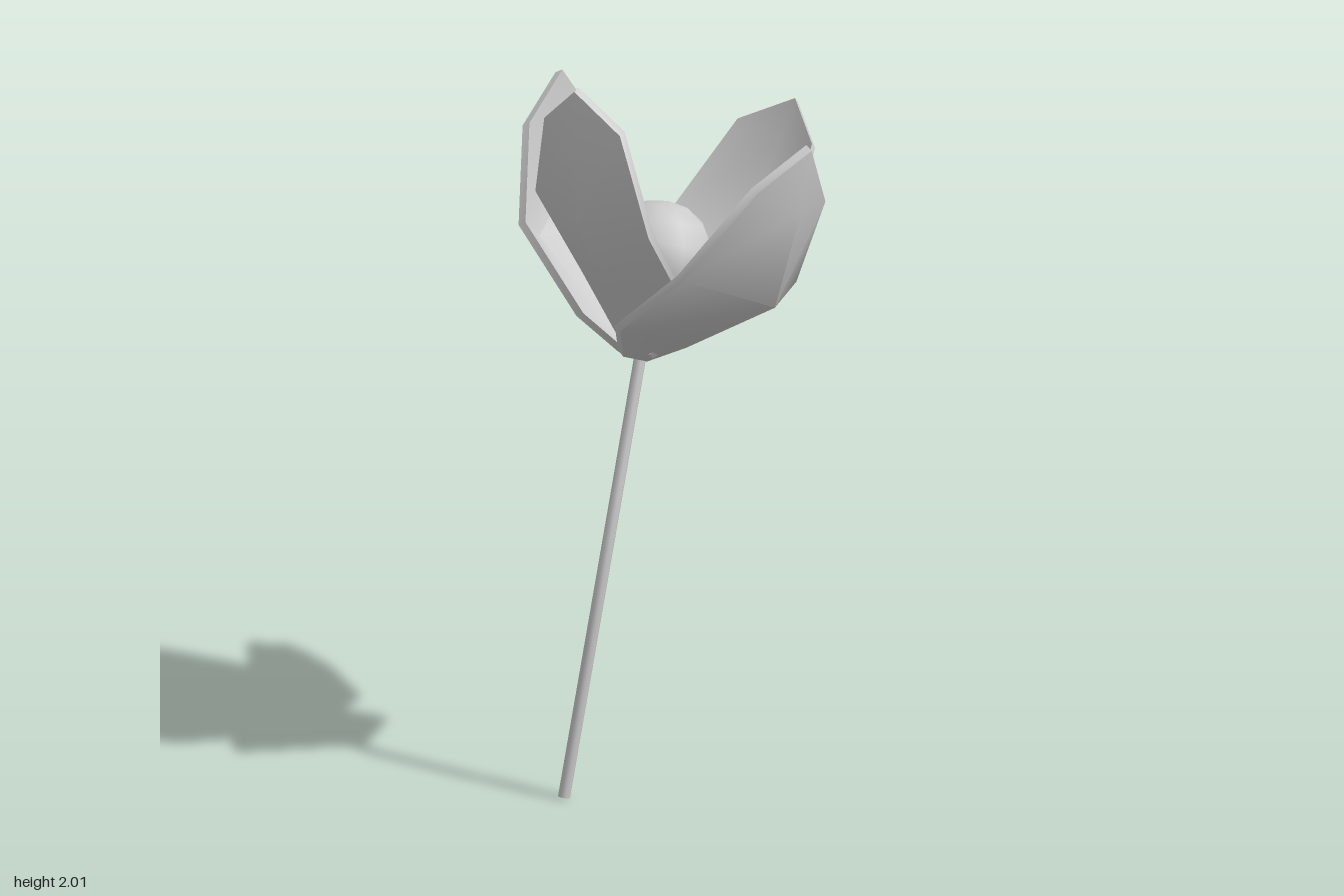
import * as THREE from 'three';
import { toCreasedNormals } from 'three/addons/utils/BufferGeometryUtils.js';

const material = new THREE.MeshStandardMaterial({ color: 0xcccccc });

// Petal cross-sections from base to tip: [left edge, middle, right edge],
// in the flower's frame (y along its axis, petal leaning towards +z).
const uprightPetal = [
  [[-0.06, 0, -0.03], [0, -0.01, 0], [0.05, 0, -0.01]],
  [[-0.205, 0.18, 0.02], [-0.02, 0.15, 0.16], [0.175, 0.197, 0.12]],
  [[-0.272, 0.395, 0.23], [-0.05, 0.35, 0.35], [0.17, 0.362, 0.328]],
  [[-0.205, 0.615, 0.363], [-0.07, 0.59, 0.415], [0.065, 0.625, 0.4]],
  [[-0.085, 0.715, 0.43]],
];
const spreadPetal = [
  [[-0.06, -0.01, -0.02], [0, -0.015, 0.02], [0.06, 0, 0.02]],
  [[-0.2, 0.075, 0.04], [-0.01, 0.05, 0.14], [0.16, 0.08, 0.11]],
  [[-0.285, 0.265, 0.26], [-0.05, 0.225, 0.42], [0.15, 0.28, 0.35]],
  [[-0.225, 0.54, 0.405], [-0.08, 0.5, 0.465], [0.035, 0.53, 0.465]],
  [[-0.1, 0.675, 0.475]],
];

// Thin closed shell: outer and inner skin joined by a rim
function petalGeometry(rows) {
  const shift = new THREE.Vector3(0, -0.006, 0.01);
  const skin = (sign) => rows.map((row) =>
    row.map((p) => new THREE.Vector3(...p).addScaledVector(shift, sign)));
  const outer = skin(1), inner = skin(-1);
  const positions = [];
  const tri = (...pts) => pts.forEach((p) => positions.push(p.x, p.y, p.z));
  const quad = (a, b, c, d) => { tri(a, b, c); tri(a, c, d); };

  const last = rows.length - 1;
  for (let r = 0; r < last; r++) {
    for (let c = 0; c < 2; c++) {
      if (r + 1 === last) {
        tri(outer[r][c], outer[r][c + 1], outer[last][0]);
        tri(inner[r][c + 1], inner[r][c], inner[last][0]);
      } else {
        quad(outer[r][c], outer[r][c + 1], outer[r + 1][c + 1], outer[r + 1][c]);
        quad(inner[r][c + 1], inner[r][c], inner[r + 1][c], inner[r + 1][c + 1]);
      }
    }
  }
  // Rim runs along the base, up the right edge, over the tip and down the left
  const loop = (s) => [
    ...s[0], ...s.slice(1, last).map((row) => row[2]), s[last][0],
    ...s.slice(1, last).reverse().map((row) => row[0]),
  ];
  const a = loop(outer), b = loop(inner);
  a.forEach((p, i) => {
    const j = (i + 1) % a.length;
    quad(p, b[i], b[j], a[j]);
  });

  const geometry = new THREE.BufferGeometry();
  geometry.setAttribute('position', new THREE.Float32BufferAttribute(positions, 3));
  return toCreasedNormals(geometry, 0.9);
}

export function createModel() {
  const model = new THREE.Group();
  model.name = 'flower';
  const add = (parent, name, geometry) => {
    const mesh = new THREE.Mesh(geometry, material);
    mesh.name = name;
    parent.add(mesh);
    return mesh;
  };

  // Stem with a single bend two thirds of the way up
  const foot = new THREE.Vector3(-0.07, 0.004, 0.465);
  const bend = new THREE.Vector3(-0.02, 0.81, 0.29);
  const neck = new THREE.Vector3(-0.035, 1.23, 0.13);
  const path = new THREE.CurvePath();
  path.add(new THREE.LineCurve3(foot, bend));
  path.add(new THREE.LineCurve3(bend, neck));
  add(model, 'stem', new THREE.TubeGeometry(path, 3, 0.017, 8));
  for (const [name, end, from] of [['stemFoot', foot, bend], ['stemTop', neck, bend]]) {
    const cap = add(model, name, new THREE.CircleGeometry(0.017, 8));
    cap.position.copy(end);
    cap.lookAt(end.clone().multiplyScalar(2).sub(from));
  }

  // Flower head, leaning back on the stem
  const head = new THREE.Group();
  head.name = 'flowerHead';
  head.position.set(-0.04, 1.2, 0.14);
  head.rotation.set(-0.283, 0, -0.03);
  model.add(head);

  const upright = petalGeometry(uprightPetal);
  const spread = petalGeometry(spreadPetal);
  ['frontPetal', 'leftPetal', 'backPetal', 'rightPetal'].forEach((name, i) => {
    add(head, name, i % 2 ? spread : upright).rotation.y = i * Math.PI / 2;
  });

  // Round heart of the flower
  const heart = add(head, 'heart', new THREE.SphereGeometry(0.16, 8, 8));
  heart.position.set(0, 0.26, -0.005);
  heart.rotation.y = 0.2;

  return model;
}
